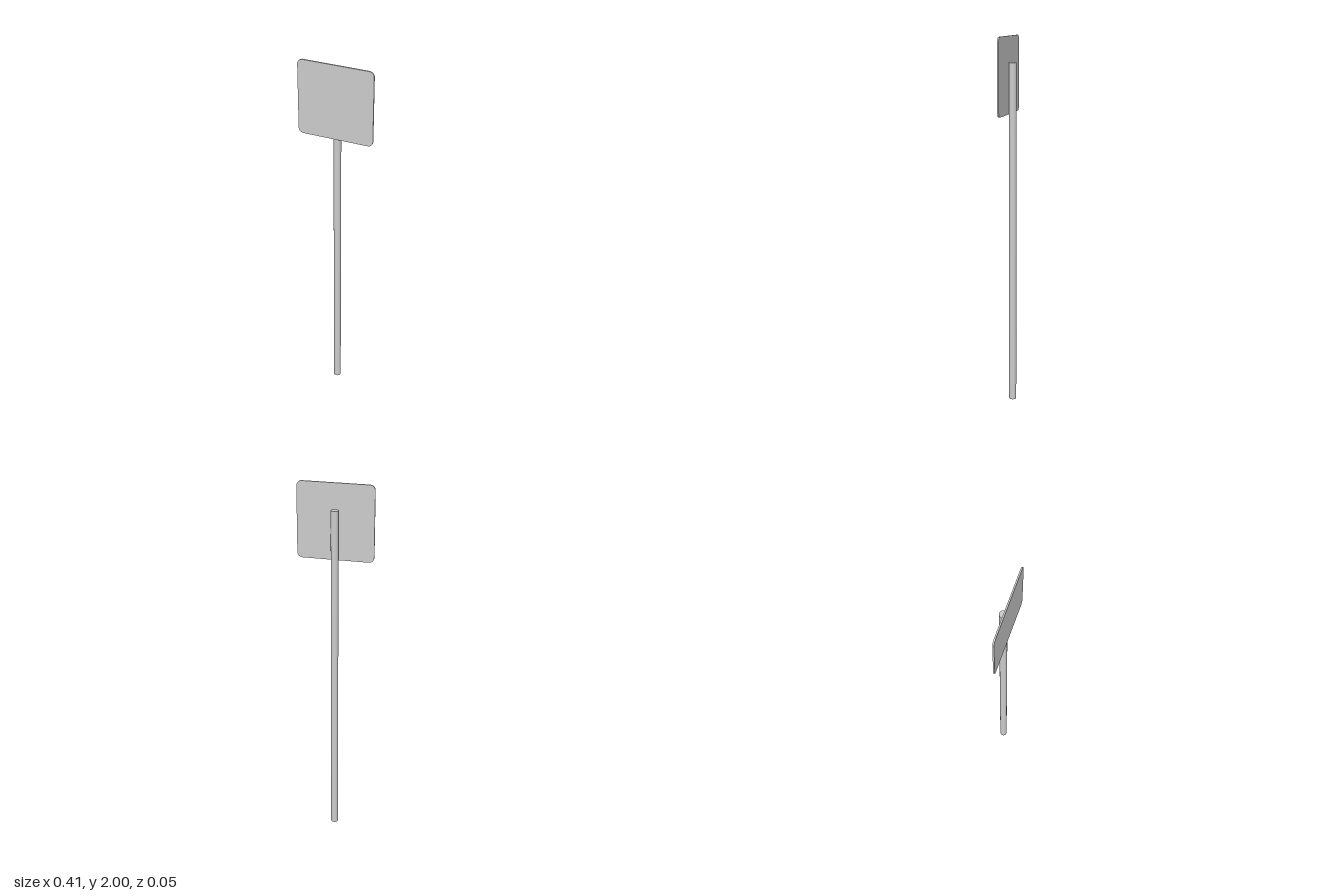
import * as THREE from 'three';

// Square outline with rounded corners, centred on the origin
function roundedRect(w, h, r) {
  const x = w / 2, y = h / 2;
  const s = new THREE.Shape();
  s.moveTo(x, -y + r);
  s.absarc(x - r, y - r, r, 0, Math.PI / 2);
  s.absarc(-x + r, y - r, r, Math.PI / 2, Math.PI);
  s.absarc(-x + r, -y + r, r, Math.PI, Math.PI * 1.5);
  s.absarc(x - r, -y + r, r, Math.PI * 1.5, Math.PI * 2);
  return s;
}

export function createModel() {
  const group = new THREE.Group();
  group.name = 'signPost';
  const material = new THREE.MeshStandardMaterial({ color: 0xcccccc });

  // Round post, ending part-way up behind the plate
  const postHeight = 1.862, postRadius = 0.0197, postZ = -0.004;
  const post = new THREE.Mesh(
    new THREE.CylinderGeometry(postRadius, postRadius, postHeight, 32), material);
  post.name = 'post';
  post.position.set(0, postHeight / 2, postZ);
  group.add(post);

  // Thin sign plate touching the front of the post
  const plateSize = 0.408;
  const plate = new THREE.Mesh(
    new THREE.ExtrudeGeometry(roundedRect(plateSize, plateSize, 0.028), {
      depth: 0.008, bevelEnabled: false, curveSegments: 8,
    }), material);
  plate.name = 'signPlate';
  plate.position.set(0, 2 - plateSize / 2, postZ + postRadius);
  group.add(plate);

  return group;
}
